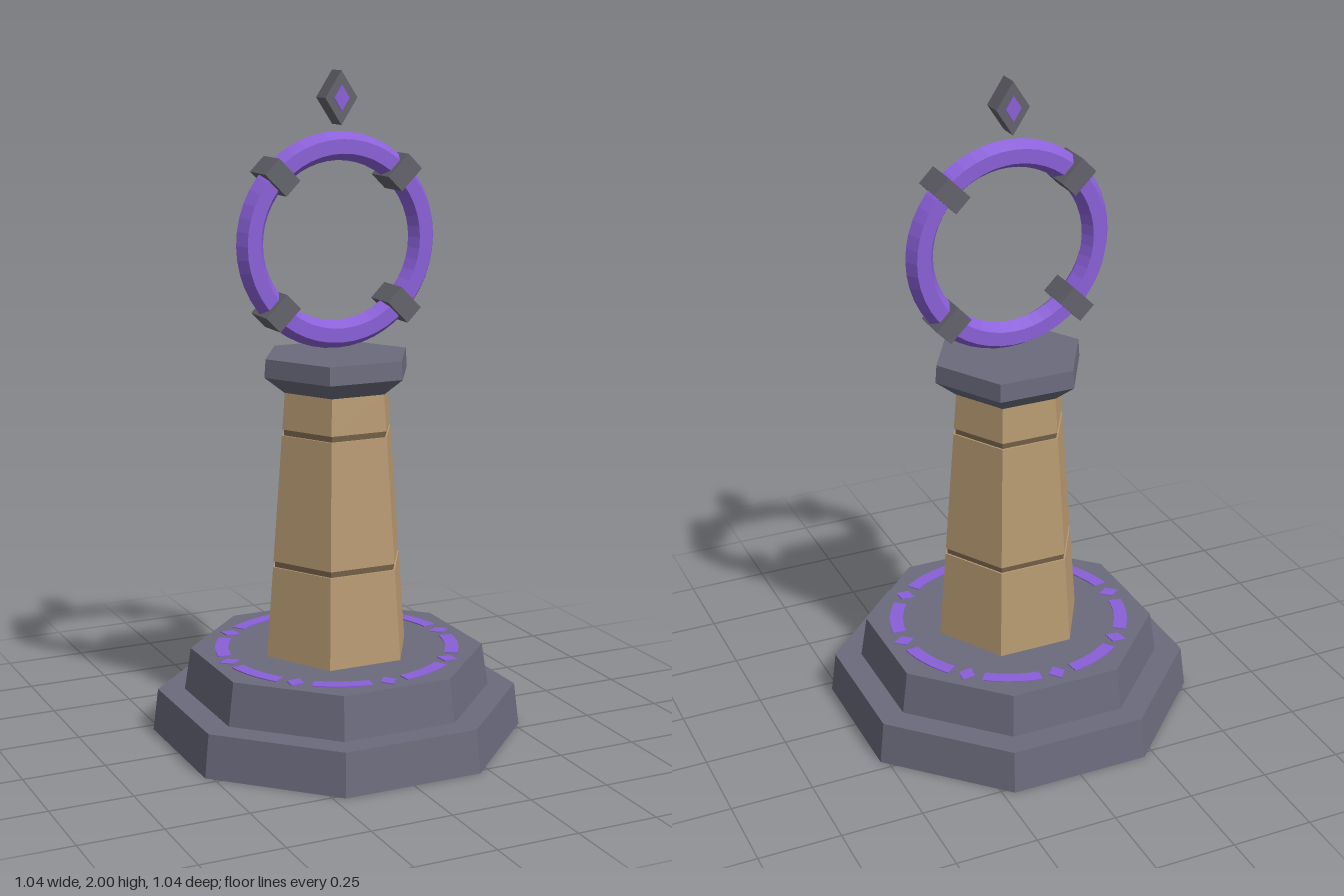
import * as THREE from 'three';

const mat = (name, color) => {
  const m = new THREE.MeshStandardMaterial({ color, flatShading: true });
  m.name = name;
  return m;
};

export function createModel() {
  const stone = mat('slate stone', 0x6a6a7c);
  const sand = mat('sandstone', 0xb89a72);
  const groove = mat('dark groove', 0x6e5c44);
  const metal = mat('grey metal', 0x64636c);
  const glow = mat('violet glow', 0x8a60d8);

  const model = new THREE.Group();
  model.name = 'ringPedestal';
  const add = (name, geometry, material, parent = model) => {
    const mesh = new THREE.Mesh(geometry, material);
    mesh.name = name;
    parent.add(mesh);
    return mesh;
  };

  // Tapered prism between two heights, with a flat side facing the front
  const prism = (name, sides, y0, r0, y1, r1, material) => {
    const g = new THREE.CylinderGeometry(r1, r0, y1 - y0, sides, 1, false, Math.PI / sides);
    add(name, g.translate(0, (y0 + y1) / 2, 0), material);
  };

  // Octagonal steps
  prism('lowerStep', 8, 0, 0.564, 0.13, 0.548, stone);
  prism('upperStep', 8, 0.13, 0.466, 0.26, 0.446, stone);

  // Hexagonal column: three blocks with recessed joints
  const columnRadius = (y) => 0.232 - (y - 0.26) * 0.078;
  const block = (name, y0, y1, inset, material) =>
    prism(name, 6, y0, columnRadius(y0) - inset, y1, columnRadius(y1) - inset, material);
  block('columnBlockBottom', 0.26, 0.537, 0, sand);
  block('columnBlockMiddle', 0.555, 0.937, 0, sand);
  block('columnBlockTop', 0.955, 1.065, 0, sand);
  block('columnJointLower', 0.537, 0.555, 0.006, groove);
  block('columnJointUpper', 0.937, 0.955, 0.006, groove);

  // Flared capital
  prism('capitalFlare', 6, 1.065, 0.17, 1.115, 0.234, stone);
  prism('capitalSlab', 6, 1.115, 0.234, 1.17, 0.23, stone);

  // Upright ring with a six-sided section and four diagonal clamps
  const ringGroup = new THREE.Group();
  ringGroup.name = 'ringAssembly';
  ringGroup.position.y = 1.506;
  model.add(ringGroup);
  const R = 0.277;
  add('ring', new THREE.TorusGeometry(R, 0.042, 6, 48), glow, ringGroup);
  for (let i = 0; i < 4; i++) {
    const a = Math.PI / 4 + (i * Math.PI) / 2;
    const clamp = add('ringClamp', new THREE.BoxGeometry(0.092, 0.062, 0.114), metal, ringGroup);
    clamp.position.set(R * Math.cos(a), R * Math.sin(a), 0);
    clamp.rotation.z = a;
  }

  // Diamond outline with half width w and half height h
  const diamond = (w, h) => new THREE.Shape([
    new THREE.Vector2(w, 0), new THREE.Vector2(0, h),
    new THREE.Vector2(-w, 0), new THREE.Vector2(0, -h),
  ]);
  const slab = (shape, depth) =>
    new THREE.ExtrudeGeometry(shape, { depth, bevelEnabled: false, curveSegments: 8 });

  // Floating finial with a violet inlay through both faces
  add('finial', slab(diamond(0.051, 0.078), 0.064).translate(0, 1.922, -0.032), metal);
  for (const z of [0.032, -0.036]) {
    add('finialInlay', slab(diamond(0.024, 0.038), 0.004).translate(0, 1.922, z), glow);
  }

  // Inlaid circle on the upper step: alternating diamonds and arcs
  const half = THREE.MathUtils.degToRad(14);
  const arc = new THREE.Shape();
  arc.absarc(0, 0, 0.372, -half, half, false);
  arc.absarc(0, 0, 0.331, half, -half, true);
  const arcGeometry = slab(arc, 0.003).rotateX(-Math.PI / 2);
  const markGeometry = slab(diamond(0.033, 0.026), 0.003)
    .translate(0.353, 0, 0).rotateX(-Math.PI / 2);
  for (let i = 0; i < 8; i++) {
    const mark = add('runeDiamond', markGeometry, glow);
    mark.position.y = 0.26;
    mark.rotation.y = (i * Math.PI) / 4;
    const dash = add('runeArc', arcGeometry, glow);
    dash.position.y = 0.26;
    dash.rotation.y = ((i + 0.5) * Math.PI) / 4;
  }
  return model;
}
